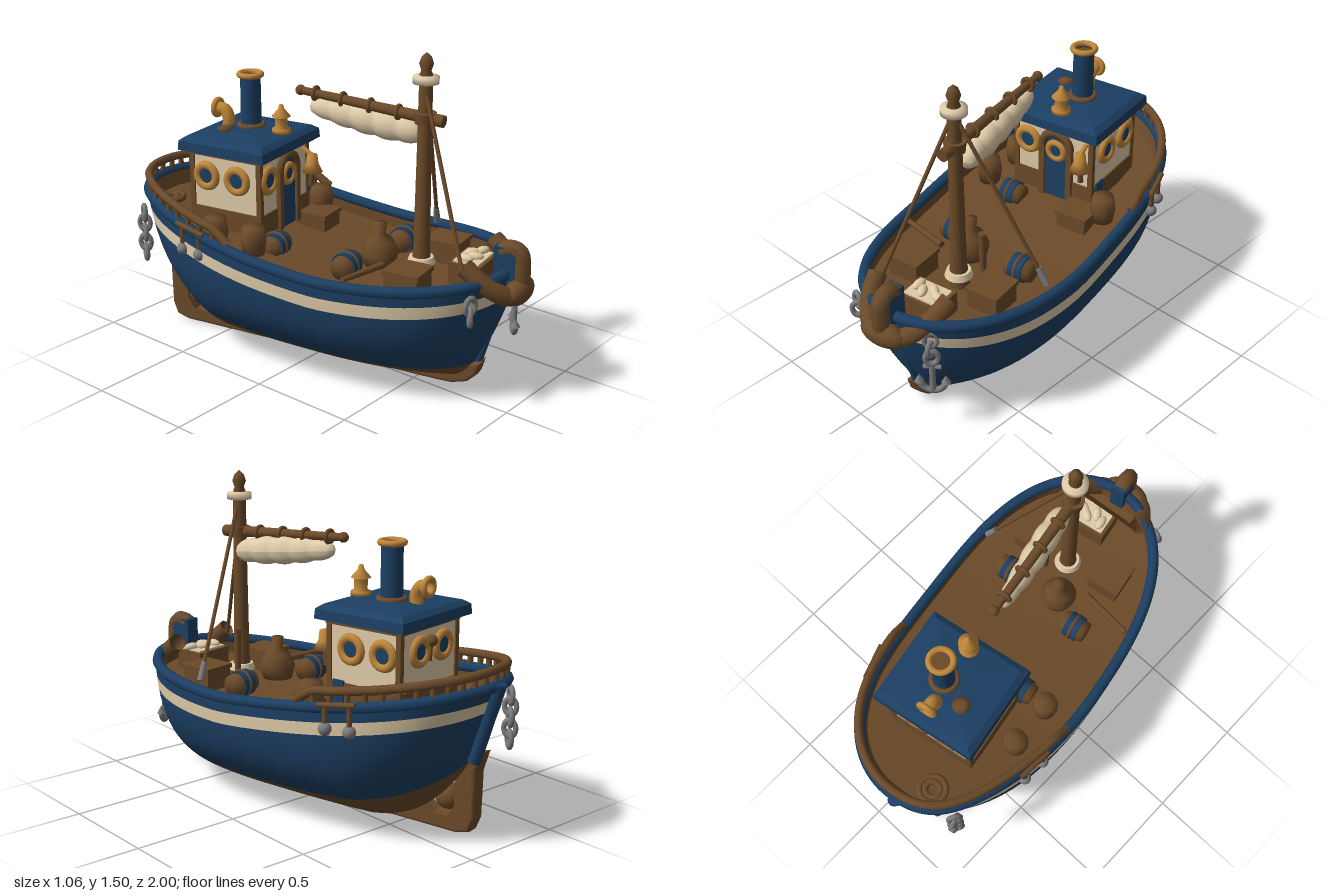
import * as THREE from 'three';

const mat = (name, color) => Object.assign(
  new THREE.MeshStandardMaterial({ color, side: THREE.DoubleSide }), { name });
const V = (x, y, z) => new THREE.Vector3(x, y, z);

export function createModel() {
  const blue = mat('navy paint', 0x1c3f63), wood = mat('brown wood', 0x6b4a29),
    cream = mat('cream paint', 0xdfcba8), ochre = mat('ochre brass', 0xbf863a),
    grey = mat('grey iron', 0x7c7c7e);
  const model = new THREE.Group();
  const boat = new THREE.Group();
  boat.name = 'boat';
  boat.rotation.y = 0.175;
  model.add(boat);

  const add = (name, geo, m, pos = [0, 0, 0], rot = [0, 0, 0], parent = boat) => {
    const mesh = new THREE.Mesh(geo, m);
    mesh.name = name;
    mesh.position.set(...pos);
    mesh.rotation.set(...rot);
    parent.add(mesh);
    return mesh;
  };
  const box = (...s) => new THREE.BoxGeometry(...s);
  const cyl = (a, b, h, n = 20) => new THREE.CylinderGeometry(a, b, h, n);
  const ball = (r) => new THREE.SphereGeometry(r, 20, 14);
  const ring = (r, t, arc = Math.PI * 2) => new THREE.TorusGeometry(r, t, 10, 28, arc);
  const lathe = (pts) => new THREE.LatheGeometry(pts.map((p) => new THREE.Vector2(...p)), 24);
  const tube = (pts, r, n = 40, closed = false) =>
    new THREE.TubeGeometry(new THREE.CatmullRomCurve3(pts, closed), n, r, 8, closed);
  const rod = (name, a, b, r1, r2, m, parent = boat) => {
    const d = b.clone().sub(a);
    const mesh = add(name, cyl(r2, r1, d.length(), 12), m, a.clone().lerp(b, 0.5).toArray(), [0, 0, 0], parent);
    mesh.quaternion.setFromUnitVectors(V(0, 1, 0), d.normalize());
  };
  // Surface from a grid of points f(i/nu, j/nv)
  const grid = (nu, nv, f) => {
    const pos = [], idx = [];
    for (let i = 0; i <= nu; i++) for (let j = 0; j <= nv; j++) {
      pos.push(...f(i / nu, j / nv).toArray());
      const a = i * (nv + 1) + j, b = a + nv + 1;
      if (i < nu && j < nv) idx.push(a, b, a + 1, b, b + 1, a + 1);
    }
    const g = new THREE.BufferGeometry();
    g.setAttribute('position', new THREE.Float32BufferAttribute(pos, 3));
    g.setIndex(idx);
    g.computeVertexNormals();
    return g;
  };

  // Hull rules: n runs from -1 (stern) to 1 (bow)
  const W = (n) => -0.03 + 0.945 * n;
  const beam = (n) => 0.483 * (n < 0 ? Math.max(0, 1 - (-n) ** 2.35) ** 0.44 : Math.max(0, 1 - n ** 2.8) ** 0.48);
  const skew = (n) => (n < 0 ? 0.12 * n * n * (1 - n * n) : 0);
  const sheer = (n) => 0.56 + 0.165 * Math.max(0, (0.2 - W(n)) / 1.18) ** 1.3 + 0.04 * Math.max(0, (W(n) - 0.2) / 0.7) ** 2;
  const keelY = (n) => 0.02 + 0.33 * Math.max(0, (-n - 0.45) / 0.55) ** 1.5;
  const water = (n) => (n > 0 ? 0.15 - 0.02 * n : 0.15 - 0.05 * n + 0.16 * n ** 4);
  const hullPoint = (a, y, inset = 1) => {
    const n = Math.sin(a), side = Math.cos(a) < 0 ? -1 : 1, k = keelY(n);
    const h = THREE.MathUtils.clamp((y - k) / (sheer(n) - k), 0, 1);
    const full = (1 - (1 - h) ** 3.2) ** (0.7 * (1 + 0.5 * n ** 4));
    const shift = n > 0 ? -0.2 * n ** 3 * (1 - h) ** 1.5 : 0.13 * (-n) ** 3 * (1 - h);
    return V(side * beam(n) * full * inset + skew(n) * h, y, (W(n) + shift) * (inset < 1 ? 0.97 : 1));
  };
  const angle = (t) => -Math.PI / 2 + t * Math.PI * 2;
  const band = (name, m, lo, hi, rows, inset) => add(name, grid(96, rows, (t, v) => {
    const n = Math.sin(angle(t));
    return hullPoint(angle(t), THREE.MathUtils.lerp(lo(n), hi(n), v), inset);
  }), m);
  const stripeLow = (n) => sheer(n) - 0.13, stripeHigh = (n) => sheer(n) - 0.073;
  band('hullBottom', wood, keelY, water, 10);
  band('hullSides', blue, water, stripeLow, 10);
  band('hullStripe', cream, stripeLow, stripeHigh, 2);
  band('upperStrake', blue, stripeHigh, sheer, 3);
  const deckY = (n) => sheer(n) - 0.08;
  band('innerBulwark', wood, deckY, sheer, 2, 0.935);
  add('deck', grid(48, 4, (t, v) => {
    const n = Math.sin(-Math.PI / 2 + t * Math.PI);
    return V((2 * v - 1) * beam(n) * 0.945 + skew(n), deckY(n), W(n) * 0.975);
  }), wood);
  const rim = [];
  for (let i = 0; i < 64; i++) {
    const a = angle(i / 64), n = Math.sin(a);
    rim.push(hullPoint(a, sheer(n), 0.965).setZ(W(n) * 0.99).add(V(0, -0.01, 0)));
  }
  add('gunwale', tube(rim, 0.026, 160, true), blue);

  // Keel with the propeller opening
  const keel = new THREE.Group();
  keel.name = 'keel';
  keel.position.x = -0.035;
  keel.rotation.y = 0.03;
  boat.add(keel);
  const shape = (pts) => pts.map((p) => new THREE.Vector2(...p));
  const keelShape = new THREE.Shape(shape([[0.785, 0.12], [0.77, 0.08], [0.73, 0.04], [0.66, 0.018], [0.58, 0.015],
    [-0.77, 0.015], [-0.825, 0.03], [-0.845, 0.08], [-0.85, 0.3], [-0.88, 0.38], [-0.77, 0.34], [-0.64, 0.2], [-0.5, 0.09],
    [0, 0.05], [0.6, 0.06], [0.7, 0.1]]));
  keelShape.holes.push(new THREE.Path(shape([[-0.6, 0.1], [-0.64, 0.07], [-0.73, 0.07], [-0.765, 0.13],
    [-0.765, 0.29], [-0.72, 0.27], [-0.66, 0.18]])));
  const keelGeo = new THREE.ExtrudeGeometry(keelShape, { depth: 0.05, bevelSize: 0.015, bevelThickness: 0.018, bevelSegments: 3 });
  keelGeo.translate(0, 0, -0.025).rotateY(-Math.PI / 2);
  add('keelAndRudder', keelGeo, wood, [0, 0, 0], [0, 0, 0], keel);
  add('propellerHub', ball(0.06), wood, [0, 0.15, -0.71], [0, 0, 0], keel);
  rod('propellerShaft', V(0, 0.15, -0.55), V(0, 0.15, -0.8), 0.025, 0.025, wood, keel);
  rod('sternPost', V(0, 0.36, -0.87), V(0, 0.73, -0.985), 0.03, 0.03, blue);

  // Stern rail on posts
  const rail = [];
  for (let i = 0; i <= 26; i++) {
    const a = -Math.PI / 2 + (i / 26 - 0.5) * 2.62, n = Math.sin(a);
    const p = hullPoint(a, sheer(n), 0.965).setZ(W(n) * 0.985);
    rail.push(p.clone().setY(p.y + (i % 26 ? 0.06 : 0.02)));
    if (i > 0 && i < 26) rod('railPost', p, rail[i], 0.013, 0.013, wood);
  }
  add('sternRail', tube(rail, 0.02, 80), wood);

  // Wheelhouse
  const house = new THREE.Group();
  house.name = 'wheelhouse';
  house.position.set(0.035, 0, -0.46);
  boat.add(house);
  const inHouse = (name, geo, m, pos, rot) => add(name, geo, m, pos, rot, house);
  inHouse('walls', box(0.42, 0.4, 0.38), cream, [0, 0.77, 0]);
  inHouse('wallBase', box(0.435, 0.1, 0.395), wood, [0, 0.62, 0]);
  inHouse('sidePanel', box(0.008, 0.12, 0.06), blue, [0.219, 0.62, 0.13]);
  for (const x of [-1, 1]) for (const z of [-1, 1])
    inHouse('cornerPost', box(0.025, 0.4, 0.025), wood, [x * 0.205, 0.77, z * 0.185]);
  inHouse('eaves', box(0.44, 0.025, 0.4), wood, [0, 0.935, 0]);
  // Roof: square-sided cone frustums
  const roofLayer = (name, top, bottom, h, y) => {
    const g = new THREE.CylinderGeometry(top, bottom, h, 4).toNonIndexed();
    g.rotateY(Math.PI / 4).computeVertexNormals();
    g.scale(0.51, 1, 0.47);
    inHouse(name, g, blue, [0, y, 0]);
  };
  roofLayer('roofEdge', 0.7, 0.71, 0.045, 0.965);
  roofLayer('roofShoulder', 0.62, 0.7, 0.02, 0.9975);
  roofLayer('roofTop', 0.3, 0.62, 0.016, 1.0155);
  const porthole = (x, y, z, turn, size = 1) => {
    const p = new THREE.Group();
    p.name = 'porthole';
    p.position.set(x, y, z);
    p.rotation.y = turn;
    p.scale.setScalar(size);
    house.add(p);
    add('portholeRing', ring(0.052, 0.02), ochre, [0, 0, 0], [0, 0, 0], p);
    add('portholeGlass', new THREE.CircleGeometry(0.052, 24), blue, [0, 0, 0.008], [0, 0, 0], p);
  };
  for (const d of [-0.105, 0.065]) {
    porthole(0.212, 0.825, d, Math.PI / 2);
    porthole(-0.212, 0.825, d, -Math.PI / 2);
    porthole(d + 0.01, 0.83, -0.192, Math.PI);
  }
  porthole(-0.14, 0.83, 0.192, 0);
  inHouse('door', box(0.13, 0.28, 0.02), blue, [0.02, 0.7, 0.19]);
  inHouse('doorHead', cyl(0.065, 0.065, 0.02), blue, [0.02, 0.84, 0.19], [Math.PI / 2, 0, 0]);
  inHouse('doorArch', ring(0.075, 0.02, Math.PI), wood, [0.02, 0.84, 0.2]);
  for (const x of [-1, 1]) inHouse('doorJamb', box(0.03, 0.28, 0.03), wood, [0.02 + x * 0.075, 0.7, 0.198]);
  porthole(0.02, 0.82, 0.2, 0, 0.8);
  inHouse('bell', lathe([[0, 0.09], [0.025, 0.085], [0.03, 0.04], [0.05, 0], [0, 0]]), ochre, [0.175, 0.79, 0.24]);
  rod('bellHanger', V(0.175, 0.9, 0.19), V(0.175, 0.87, 0.24), 0.012, 0.012, ochre, house);
  rod('bellRope', V(0.175, 0.79, 0.24), V(0.175, 0.72, 0.23), 0.012, 0.014, wood, house);
  add('sternLamp', ball(0.026), wood, [0.01, 0.87, -0.21], [0, 0, 0], house);
  rod('sternLampBracket', V(0.01, 0.87, -0.205), V(0.01, 0.78, -0.2), 0.01, 0.01, wood, house);

  // Roof fittings
  inHouse('funnelBase', ring(0.055, 0.015), wood, [0.03, 1.025, -0.01], [Math.PI / 2, 0, 0]);
  inHouse('funnel', new THREE.CylinderGeometry(0.048, 0.05, 0.27, 24, 1, true), blue, [0.03, 1.14, -0.01]);
  inHouse('funnelRim', ring(0.052, 0.014), ochre, [0.03, 1.272, -0.01], [Math.PI / 2, 0, 0]);
  inHouse('funnelInside', cyl(0.045, 0.045, 0.01), wood, [0.03, 1.25, -0.01]);
  inHouse('lantern', lathe([[0, 0], [0.045, 0], [0.045, 0.02], [0.03, 0.025], [0.03, 0.075], [0.045, 0.08],
    [0.015, 0.115], [0.01, 0.135], [0, 0.14]]), ochre, [0.02, 1.015, 0.165]);
  inHouse('ventPipe', tube([V(0, 1.0, -0.12), V(0, 1.06, -0.12), V(0, 1.09, -0.14), V(0, 1.095, -0.18)], 0.03, 16), ochre);
  inHouse('ventMouth', ring(0.036, 0.014), ochre, [0, 1.095, -0.18]);
  inHouse('smallVent', lathe([[0, 0], [0.035, 0], [0.025, 0.02], [0.04, 0.03], [0.02, 0.04], [0, 0.04]]), wood, [-0.1, 1.005, -0.07]);

  // Mast, boom and furled sail
  const mz = 0.469;
  add('mast', lathe([[0.05, 0.48], [0.038, 0.6], [0.033, 1.0], [0.03, 1.4], [0.022, 1.42], [0.032, 1.45], [0.022, 1.48], [0, 1.5]]), wood, [0.01, 0, mz]);
  add('mastCap', lathe([[0.03, -0.02], [0.058, -0.015], [0.058, 0.015], [0.03, 0.02]]), cream, [0.01, 1.38, mz]);
  add('mastCollar', cyl(0.05, 0.045, 0.05), wood, [0.01, 1.21, mz]);
  add('mastFoot', cyl(0.055, 0.065, 0.03), cream, [0.01, 0.55, mz]);
  rod('boom', V(0.01, 1.205, 0.56), V(0.01, 1.25, -0.16), 0.028, 0.018, wood);
  add('boomTip', ball(0.024), wood, [0.01, 1.25, -0.16]);
  add('furledSail', grid(48, 16, (t, v) => {
    const a = v * Math.PI * 2, e = Math.sin(Math.PI * t) ** 0.25;
    const r = e * (0.87 + 0.13 * Math.abs(Math.sin(t * Math.PI * 5)));
    return V(0.04 - 0.03 * t + Math.cos(a) * (0.068 - 0.024 * t) * r, 1.125 + 0.06 * t + Math.sin(a) * (0.076 - 0.02 * t) * r, 0.45 - t * 0.56);
  }), cream);
  for (let i = 0; i < 4; i++) add('sailLashing', ring(0.027, 0.01), wood, [0.01, 1.218 + i * 0.009, 0.34 - i * 0.14]);
  rod('foreStay', V(0, 1.35, mz), V(-0.19, 0.63, 0.755), 0.009, 0.009, wood);
  rod('sideStay', V(0.02, 1.35, mz), V(0.405, 0.58, 0.36), 0.009, 0.009, wood);
  rod('stayBlock', V(0.365, 0.66, 0.37), V(0.405, 0.58, 0.36), 0.013, 0.016, grey);
  rod('belayingPost', V(0.1, 0.5, 0.41), V(0.1, 0.76, 0.41), 0.014, 0.018, wood);

  // Large timber anchor lashed over the stem
  add('stemHead', box(0.07, 0.16, 0.1), blue, [-0.03, 0.635, 0.895]);
  rod('stem', V(-0.01, 0.13, 0.775), V(-0.02, 0.57, 0.9), 0.02, 0.024, blue);
  add('bowAnchorArms', tube([V(-0.2, 0.65, 0.77), V(-0.185, 0.59, 0.84), V(-0.12, 0.52, 0.93), V(-0.03, 0.505, 0.955),
    V(0.06, 0.52, 0.93), V(0.14, 0.59, 0.84), V(0.17, 0.65, 0.75)], 0.043), wood);
  add('bowAnchorCrown', ball(0.06), wood, [-0.03, 0.52, 0.957]).scale.set(1.9, 1, 0.9);
  add('bowAnchorShank', tube([V(-0.03, 0.5, 0.96), V(-0.03, 0.62, 0.965), V(-0.03, 0.685, 0.955), V(-0.03, 0.705, 0.92), V(-0.03, 0.69, 0.87)], 0.04), wood);

  // Iron anchors and chains hung on the hull
  const chain = (x, y, z, turn, links, anchor) => {
    const c = new THREE.Group();
    c.name = 'anchorChain';
    c.position.set(x, y, z);
    c.rotation.y = turn;
    boat.add(c);
    for (let i = 0; i < links; i++)
      add('chainLink', ring(0.028, 0.012), grey, [0, -i * 0.05, 0], [0, i % 2 ? 1.1 : 0.2, 0], c).scale.y = 1.25;
    if (!anchor) return;
    const b = -links * 0.05;
    rod('anchorShank', V(0, b + 0.02, 0), V(0, b - 0.13, 0), 0.013, 0.015, grey, c);
    rod('anchorStock', V(-0.04, b, 0), V(0.04, b, 0), 0.01, 0.01, grey, c);
    add('anchorArms', ring(0.058, 0.014, Math.PI), grey, [0, b - 0.075, 0], [0, 0, Math.PI], c);
    for (const s of [-1, 1]) add('anchorFluke', new THREE.ConeGeometry(0.022, 0.04, 8), grey, [s * 0.058, b - 0.065, 0], [0, 0, 0], c);
  };
  chain(0.155, 0.51, 0.87, 0.5, 3, true);
  chain(-0.27, 0.51, 0.835, -0.6, 2, false);
  chain(-0.25, 0.6, -0.89, -2.5, 5, false);
  for (const s of [-1, 1]) {
    for (const z of [-0.44, -0.55]) {
      const x = s * (z < -0.5 ? 0.43 : 0.455) + 0.025;
      rod('fenderStrap', V(x, 0.65, z), V(x, 0.55, z), 0.012, 0.012, wood);
      add('fenderHook', ball(0.029), grey, [x, 0.54, z]);
    }
    rod('fenderBar', V(s * 0.465 + 0.025, 0.64, -0.41), V(s * 0.43 + 0.025, 0.66, -0.58), 0.012, 0.012, wood);
  }

  // Deck cargo
  for (const [x, z] of [[-0.21, 0.51], [0.215, 0.505], [0.227, -0.2]]) {
    add('crate', box(0.15, 0.1, 0.16), wood, [x, 0.53, z]);
    add('crateLid', box(0.165, 0.02, 0.175), wood, [x, 0.585, z]);
  }
  const barrel = [[0, -0.065], [0.05, -0.065], [0.06, 0], [0.05, 0.065], [0, 0.065]];
  for (const [x, z] of [[-0.198, 0.2], [0.214, 0.28], [-0.158, -0.2]]) {
    add('lyingBarrel', lathe(barrel), wood, [x, 0.54, z], [0, 0, Math.PI / 2]);
    add('barrelWrap', cyl(0.062, 0.062, 0.07), blue, [x, 0.54, z], [0, 0, Math.PI / 2]);
    add('barrelHoop', ring(0.06, 0.008), wood, [x, 0.54, z], [0, Math.PI / 2, 0]);
  }
  for (const [x, z] of [[-0.287, -0.447], [-0.305, -0.226], [0.33, -0.24]])
    add('standingBarrel', lathe(barrel), wood, [x, 0.61, z]);
  add('jug', lathe([[0, 0], [0.07, 0.02], [0.085, 0.08], [0.06, 0.14], [0.025, 0.17], [0.03, 0.22], [0, 0.22]]), wood, [-0.05, 0.49, 0.29]);
  add('catchTray', box(0.2, 0.1, 0.15), wood, [0.026, 0.55, 0.715]);
  add('catchLining', box(0.17, 0.01, 0.12), cream, [0.026, 0.603, 0.715]);
  for (let i = 0; i < 4; i++)
    add('fish', ball(0.024), cream, [-0.03 + i * 0.04, 0.615, 0.7 + (i % 2) * 0.03], [0, 0.4 * i, 0]).scale.set(0.9, 0.8, 1.6);
  for (const r of [0.035, 0.06]) add('ropeCoil', ring(r, 0.015), wood, [-0.1, 0.645, -0.84], [Math.PI / 2, 0, 0]);
  rod('oar', V(-0.42, 0.57, 0.3), V(-0.165, 0.56, 0.36), 0.012, 0.016, wood);
  return model;
}
